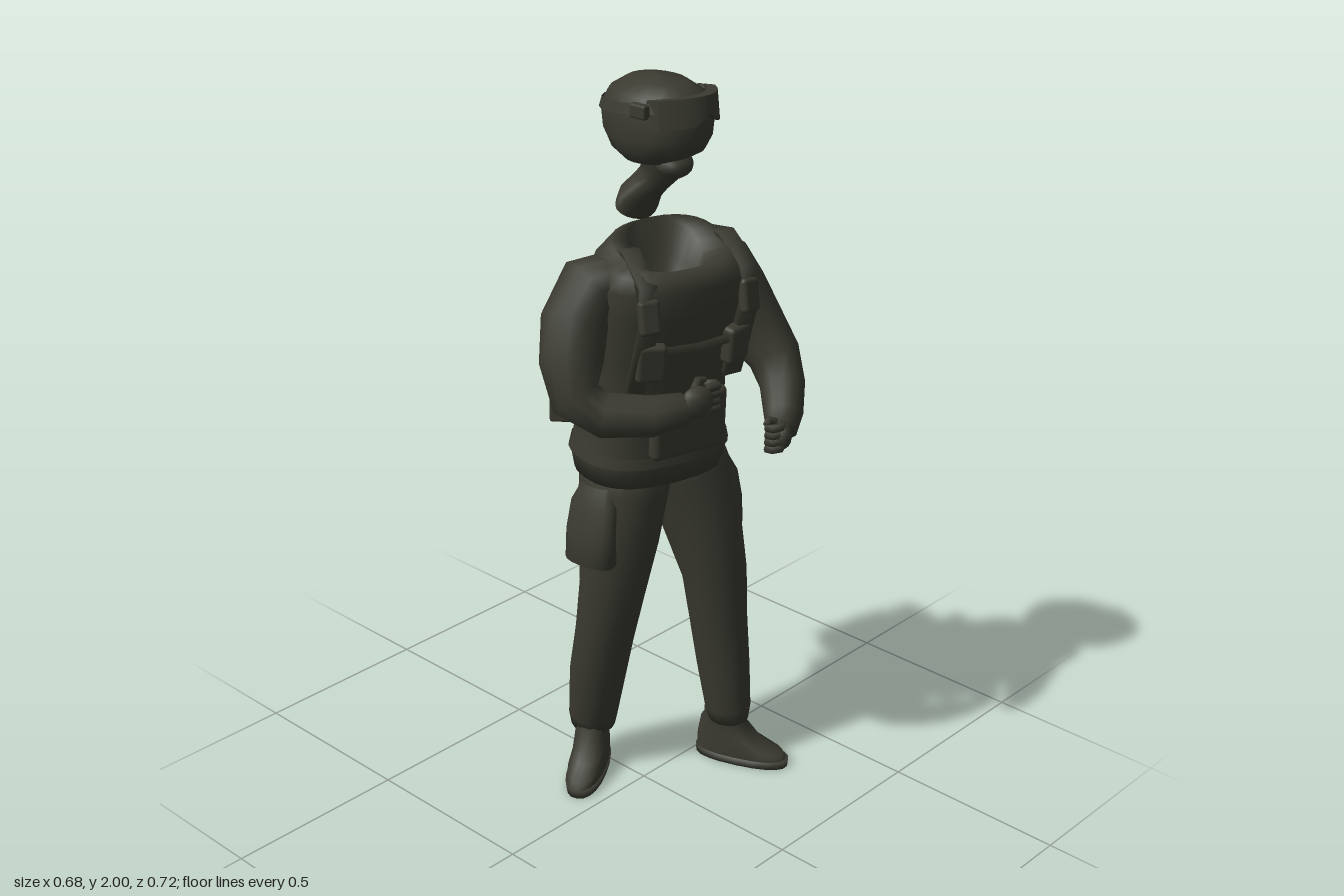
import * as THREE from 'three';
import { RoundedBoxGeometry } from 'three/addons/geometries/RoundedBoxGeometry.js';

const V = (x, y, z) => new THREE.Vector3(x, y, z);
const YAW = -0.25; // the upper body turns to its right

// skin closed rings of equal length with quads
function skin(rings) {
  const n = rings[0].length, pos = [], idx = [];
  rings.forEach(r => r.forEach(p => pos.push(p.x, p.y, p.z)));
  for (let j = 0; j < rings.length - 1; j++) for (let i = 0; i < n; i++) {
    const a = j * n + i, b = j * n + (i + 1) % n;
    idx.push(a, a + n, b, b, a + n, b + n);
  }
  const g = new THREE.BufferGeometry();
  g.setAttribute('position', new THREE.Float32BufferAttribute(pos, 3));
  g.setIndex(idx);
  g.computeVertexNormals();
  return g;
}

// stack of level rings: [y, cx, cz, rx, rz, tilt]; tilt lowers the front
function stack(rows, yaw = 0, n = 20, e = 0.85) {
  const c = Math.cos(yaw), s = Math.sin(yaw);
  const pw = t => Math.sign(t) * Math.abs(t) ** e;
  return skin(rows.map(([y, cx, cz, rx, rz, tilt = 0]) => Array.from({ length: n }, (_, i) => {
    const a = i / n * Math.PI * 2, x = rx * pw(Math.cos(a)), z = rz * pw(Math.sin(a));
    return V(cx + x * c + z * s, y - tilt * z, cz - x * s + z * c);
  })));
}

// limb along points [x, y, z, ru, rv], ends closed; ru runs along ref
function limb(pts, ref = V(1, 0, 0), n = 12) {
  const ps = pts.map(p => V(p[0], p[1], p[2])), rings = [];
  pts.forEach((p, k) => {
    const t = ps[Math.min(k + 1, ps.length - 1)].clone().sub(ps[Math.max(k - 1, 0)]).normalize();
    const u = ref.clone().addScaledVector(t, -ref.dot(t)).normalize();
    const v = u.clone().cross(t), ru = p[3], rv = p[4] ?? ru;
    const ring = f => Array.from({ length: n }, (_, i) => {
      const a = (i + 0.5) / n * Math.PI * 2;
      return ps[k].clone().addScaledVector(u, Math.cos(a) * ru * f).addScaledVector(v, Math.sin(a) * rv * f);
    });
    if (k === 0) rings.push(ring(0));
    rings.push(ring(1));
    if (k === pts.length - 1) rings.push(ring(0));
  });
  return skin(rings);
}

const strap = (pts, w = 0.018, t = 0.006) => limb(pts.map(p => [...p, w, t]), V(1, 0, 0), 4);

export function createModel() {
  const model = new THREE.Group();
  const olive = new THREE.MeshStandardMaterial({ color: 0x3a3a31, side: THREE.DoubleSide });
  olive.name = 'dark olive';
  const add = (name, geo, parent = model, pos = [0, 0, 0], rot = [0, 0, 0]) => {
    const m = new THREE.Mesh(geo, olive);
    m.name = name;
    m.position.set(...pos);
    m.rotation.set(...rot);
    parent.add(m);
    return m;
  };
  const box = (name, parent, size, pos, rot, r = 0.012) =>
    add(name, new RoundedBoxGeometry(...size, 2, r), parent, pos, rot);

  // helmet, face cover and neck
  add('helmet', stack([
    [1.80, -0.008, 0.05, 0, 0], [1.798, -0.008, 0.05, 0.08, 0.075], [1.825, -0.008, 0.053, 0.102, 0.12],
    [1.86, -0.008, 0.052, 0.11, 0.143], [1.92, -0.008, 0.052, 0.114, 0.15], [1.96, -0.008, 0.052, 0.098, 0.126],
    [1.988, -0.008, 0.05, 0.06, 0.078], [2.0, -0.008, 0.05, 0, 0]], 0, 20, 0.95));
  add('neck', stack([
    [1.668, -0.018, -0.006, 0.072, 0.032, 1.0], [1.7, -0.016, 0.005, 0.068, 0.04, 0.5], [1.73, -0.008, 0.03, 0.05, 0.046, 0.3],
    [1.755, -0.005, 0.055, 0.046, 0.052, 0.2], [1.78, -0.008, 0.07, 0.05, 0.06], [1.84, -0.012, 0.07, 0.06, 0.075]], 0, 20, 1.15));
  add('chin', new THREE.SphereGeometry(1, 12, 8), model, [-0.015, 1.79, 0.115]).scale.set(0.05, 0.033, 0.042);

  // goggles bent round the brow, with band and side clips
  const goggle = new THREE.BoxGeometry(0.2, 0.07, 0.035, 10, 2, 1), gp = goggle.attributes.position;
  for (let i = 0; i < gp.count; i++) {
    const x = gp.getX(i), y = gp.getY(i);
    gp.setZ(i, gp.getZ(i) - 7 * x * x);
    if (y < 0) gp.setY(i, y + 0.025 * Math.exp(-((x / 0.025) ** 2)));
  }
  goggle.computeVertexNormals();
  add('goggles', goggle, model, [-0.008, 1.94, 0.2], [-0.12, 0, 0]);
  add('goggleBand', stack([[1.925, -0.008, 0.052, 0.118, 0.154, -0.12], [1.95, -0.008, 0.052, 0.112, 0.146, -0.12]], 0, 20, 0.95));
  for (const s of [-1, 1]) box('goggleClip', model, [0.022, 0.035, 0.05], [-0.01 + s * 0.112, 1.94, 0.1], [0, 0, 0], 0.006);

  // jacket with an open collar
  add('jacket', stack([
    [0.96, 0.055, -0.035, 0.01, 0.01], [0.94, 0.055, -0.035, 0.195, 0.15], [1.0, 0.052, -0.033, 0.203, 0.16],
    [1.03, 0.05, -0.03, 0.2, 0.158], [1.15, 0.045, -0.015, 0.178, 0.15], [1.3, 0.028, 0.01, 0.185, 0.158],
    [1.42, 0.022, 0.04, 0.2, 0.17], [1.5, 0.015, 0.065, 0.205, 0.155], [1.55, 0.008, 0.075, 0.185, 0.13, 0.15],
    [1.583, 0.0, 0.085, 0.15, 0.1, 0.35], [1.578, -0.015, 0.09, 0.09, 0.08, 0.65],
    [1.5, -0.015, 0.08, 0.08, 0.07, 0.5], [1.44, -0.015, 0.08, 0, 0]], YAW, 28, 0.8));
  add('jacketHem', stack([[1.0, 0.052, -0.033, 0.208, 0.166], [1.03, 0.05, -0.03, 0.202, 0.16]], YAW, 28, 0.8));
  add('waistBelt', stack([[1.16, 0.045, -0.013, 0.183, 0.156], [1.2, 0.04, -0.008, 0.184, 0.157]], YAW, 28, 0.8));

  // arms
  const rightRef = V(-0.6, 0.3, 0.75), leftRef = V(0.55, 0.35, 0.75);
  add('rightArm', limb([
    [-0.08, 1.515, 0.02, 0.09, 0.06], [-0.16, 1.485, -0.03, 0.1, 0.082], [-0.22, 1.41, -0.025, 0.092, 0.084],
    [-0.257, 1.32, 0.0, 0.08], [-0.276, 1.24, 0.033, 0.066], [-0.24, 1.205, 0.095, 0.058], [-0.16, 1.2, 0.175, 0.052],
    [-0.085, 1.21, 0.215, 0.04]], rightRef));
  add('leftArm', limb([
    [0.1, 1.525, 0.08, 0.09, 0.06], [0.172, 1.475, 0.07, 0.105, 0.082], [0.216, 1.395, 0.1, 0.098, 0.08],
    [0.248, 1.31, 0.15, 0.083, 0.078], [0.266, 1.24, 0.205, 0.068], [0.245, 1.18, 0.252, 0.058], [0.2, 1.125, 0.295, 0.05],
    [0.165, 1.1, 0.32, 0.04]], leftRef));

  // gloved hands with curled fingers; reach sets how far the curl stands out
  const hand = (name, pos, yaw, side, reach) => {
    const g = new THREE.Group();
    g.name = name;
    g.position.set(...pos);
    g.rotation.y = yaw;
    model.add(g);
    add('palm', new THREE.SphereGeometry(1, 10, 8), g).scale.set(0.028, 0.042, 0.045);
    for (let i = 0; i < 4; i++) {
      const y = 0.03 - i * 0.019;
      add('finger', limb([[0, y, reach * 0.5, 0.012], [side * 0.005, y, reach, 0.012], [side * 0.028, y - 0.003, reach * 1.1, 0.011],
        [side * 0.042, y - 0.004, reach * 0.7, 0.01]], V(0, 1, 0), 6), g);
    }
    add('thumb', limb([[side * 0.01, 0.03, 0, 0.013], [side * 0.035, 0.04, reach * 0.35, 0.011],
      [side * 0.042, 0.035, reach * 0.75, 0.009]], V(0, 1, 0), 6), g);
  };
  hand('rightHand', [-0.055, 1.22, 0.23], 1.25, 1, 0.06);
  hand('leftHand', [0.16, 1.095, 0.322], -0.7, -1, 0.03);

  // trousers, with thigh pockets that bulge out of the cloth
  add('rightTrouserLeg', limb([
    [-0.01, 1.02, -0.04, 0.11, 0.13], [-0.035, 0.9, -0.04, 0.108, 0.125], [-0.05, 0.76, -0.045, 0.102, 0.112],
    [-0.058, 0.6, -0.06, 0.087, 0.09], [-0.058, 0.45, -0.09, 0.08, 0.08], [-0.05, 0.3, -0.128, 0.075, 0.078],
    [-0.04, 0.17, -0.155, 0.068, 0.068], [-0.038, 0.13, -0.158, 0.06, 0.062]], V(1, 0, 0), 16));
  add('leftTrouserLeg', limb([
    [0.12, 1.02, -0.03, 0.115, 0.13], [0.16, 0.9, -0.005, 0.115, 0.13], [0.182, 0.76, 0.035, 0.102, 0.115],
    [0.203, 0.6, 0.068, 0.088, 0.09], [0.217, 0.45, 0.073, 0.076, 0.083], [0.23, 0.3, 0.083, 0.068, 0.077],
    [0.238, 0.17, 0.095, 0.06, 0.067], [0.24, 0.13, 0.095, 0.052, 0.06]], V(1, 0, 0), 16));
  const pocketRows = (x, z, s) => [[0.715, x, z, 0.02, 0.04], [0.72, x + s * 0.005, z, 0.04, 0.075], [0.8, x + s * 0.002, z, 0.036, 0.075],
    [0.88, x - s * 0.012, z, 0.034, 0.07], [0.93, x - s * 0.03, z, 0.03, 0.05]];
  add('rightThighPocket', stack(pocketRows(-0.148, -0.045, -1), 0.1, 16));
  add('leftThighPocket', stack(pocketRows(0.258, 0.025, 1), 0.1, 16));

  // boots with separate soles
  const boot = (name, x, z, yaw) => {
    const g = new THREE.Group();
    g.name = name;
    g.position.set(x, 0, z);
    g.rotation.y = yaw;
    model.add(g);
    add('sole', stack([[0, 0, 0.05, 0, 0], [0, 0, 0.05, 0.05, 0.134], [0.022, 0, 0.05, 0.053, 0.136], [0.024, 0, 0.05, 0, 0]]), g);
    add('upper', stack([[0.022, 0, 0.048, 0.049, 0.13], [0.05, 0, 0.044, 0.05, 0.125, 0.1], [0.085, 0, 0.018, 0.046, 0.09, 0.3],
      [0.12, 0, 0.0, 0.045, 0.06, 0.2], [0.18, 0, -0.005, 0.05, 0.052]]), g);
  };
  boot('rightBoot', -0.047, -0.152, -1.03);
  boot('leftBoot', 0.243, 0.085, 0.38);

  // load-bearing gear, in the turned frame of the upper body
  const gear = new THREE.Group();
  gear.name = 'gear';
  gear.position.set(0.02, 0, 0);
  gear.rotation.y = YAW;
  model.add(gear);
  for (const s of [-1, 1]) {
    const x = 0.02 + s * 0.145;
    add('shoulderStrap', strap([[x, 1.22, 0.125], [x, 1.32, 0.16], [x, 1.43, 0.195], [x, 1.52, 0.185],
      [x * 0.95, 1.582, 0.1], [x * 0.92, 1.565, 0.0], [x * 0.88, 1.47, -0.09], [x * 0.8, 1.32, -0.15]], 0.034, 0.014), gear);
    box('strapPouch', gear, [0.055, 0.09, 0.03], [x, 1.45, 0.195], [-0.15, s * 0.2, 0]);
    box('chestPouch', gear, [0.075, 0.1, 0.04], [x - s * 0.02, 1.32, 0.17], [0.12, s * 0.3, 0]);
    add('loadStrap', strap([[s * 0.075, 1.54, -0.03], [s * 0.077, 1.45, -0.125], [s * 0.078, 1.36, -0.165], [s * 0.078, 1.31, -0.19]], 0.016, 0.008), gear);
  }
  add('chestStrap', limb([[-0.13, 1.345, 0.172, 0.015, 0.006], [0.02, 1.34, 0.192, 0.015, 0.006], [0.16, 1.345, 0.185, 0.015, 0.006]], V(0, 1, 0), 4), gear);
  box('frontPouch', gear, [0.22, 0.17, 0.04], [0.035, 1.11, 0.125], [0.05, 0, 0], 0.018);

  // backpack
  const pack = new THREE.Group();
  pack.name = 'backpack';
  pack.position.set(0.02, 1.205, -0.245);
  gear.add(pack);
  add('packBody', stack([[-0.14, 0, 0, 0, 0], [-0.14, 0, 0, 0.095, 0.075], [-0.11, 0, 0, 0.115, 0.093], [-0.02, 0, 0.002, 0.115, 0.093],
    [0.07, 0, 0.01, 0.108, 0.085], [0.125, 0, 0.018, 0.09, 0.068], [0.14, 0, 0.02, 0.06, 0.045], [0.143, 0, 0.02, 0, 0]], 0, 24, 0.55), pack);
  add('packLid', stack([[0.05, 0, 0.01, 0.118, 0.095], [0.1, 0, 0.012, 0.112, 0.086], [0.135, 0, 0.018, 0.085, 0.062],
    [0.15, 0, 0.02, 0, 0]], 0, 24, 0.55), pack);
  box('packPocket', pack, [0.16, 0.13, 0.04], [0, -0.05, -0.08], [0.05, 0, 0], 0.018);
  for (const s of [-1, 1]) {
    box('sidePouch', pack, [0.05, 0.15, 0.11], [s * 0.125, -0.005, 0.035], [0, 0, 0], 0.02);
    add('packStrap', strap([[s * 0.08, 0.135, 0.0], [s * 0.08, 0.12, -0.07], [s * 0.08, 0.06, -0.098], [s * 0.08, -0.03, -0.102],
      [s * 0.08, -0.14, -0.11]], 0.013, 0.005), pack);
    add('hangingStrap', strap([[s * 0.06, -0.12, 0.0], [s * 0.062, -0.2, 0.005], [s * 0.062, -0.265, -0.01]], 0.01, 0.005), pack);
  }

  // radio on the right rear, canteen with its loop on the left rear
  box('radio', model, [0.075, 0.2, 0.065], [-0.09, 1.16, -0.2], [0, 0.65, 0], 0.006);
  add('radioKnob', new THREE.CylinderGeometry(0.01, 0.01, 0.06, 8), model, [-0.105, 1.28, -0.215]);
  box('canteen', model, [0.055, 0.19, 0.12], [0.245, 1.21, -0.1], [0.15, 0.15, 0], 0.022);
  add('canteenLoop', new THREE.TorusGeometry(0.024, 0.005, 6, 12), model, [0.243, 1.31, -0.12], [0, 1.2, 0]);
  return model;
}
